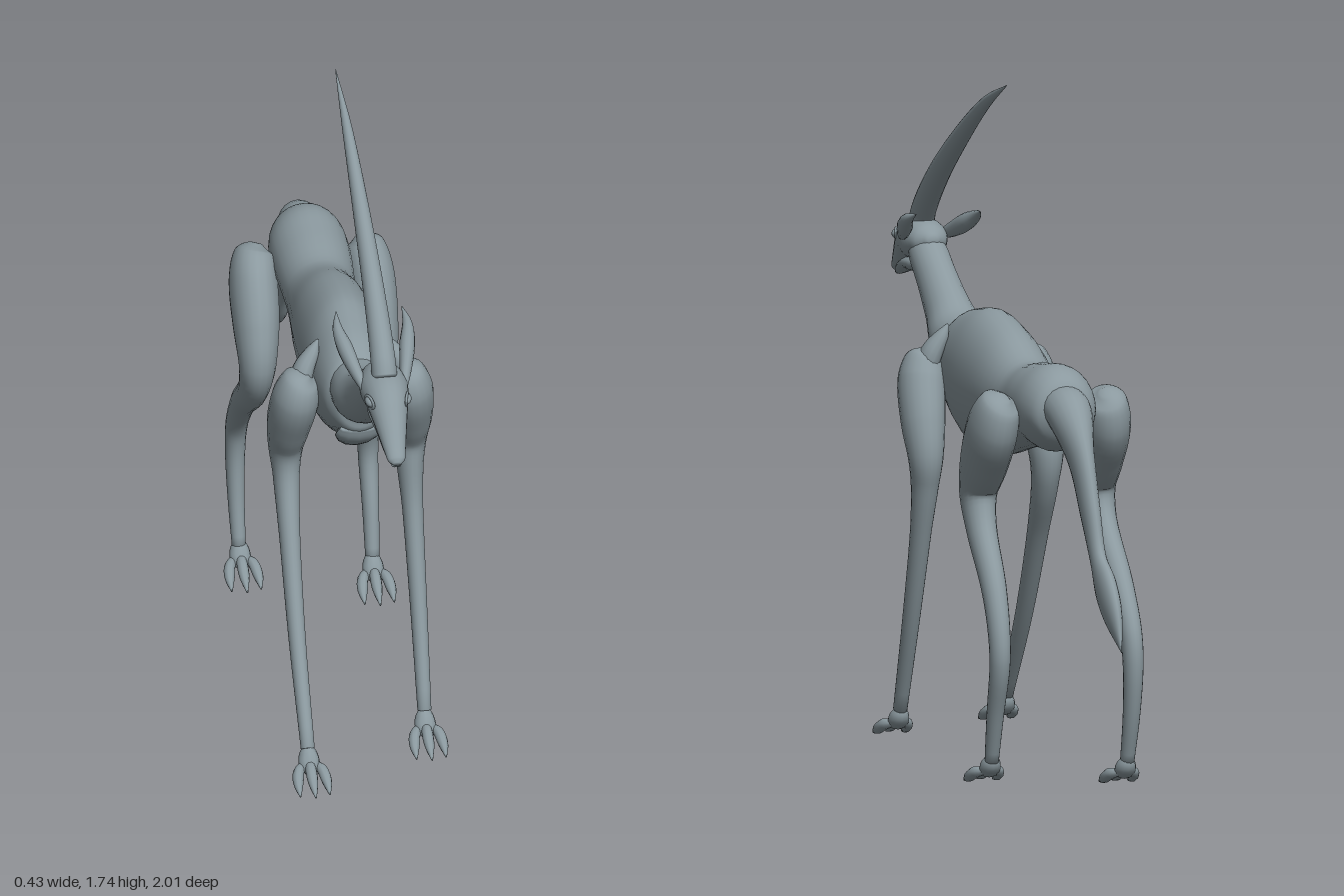
import * as THREE from 'three';

const hide = new THREE.MeshStandardMaterial({ color: 0x8b999f });
hide.name = 'slate grey';

// Smooth closed tube through rows of [x, y, z, half width, half height]
function loft(name, rows, sides = 20, steps = 5) {
  const path = new THREE.CatmullRomCurve3(rows.map(r => new THREE.Vector3(r[0], r[1], r[2])));
  const size = new THREE.CatmullRomCurve3(rows.map(r => new THREE.Vector3(r[3], r[4], 0)), false, 'catmullrom', 0.5);
  const n = (rows.length - 1) * steps;
  const pos = [], index = [];
  for (let i = 0; i <= n; i++) {
    const c = path.getPoint(i / n), t = path.getTangent(i / n), r = size.getPoint(i / n);
    const side = new THREE.Vector3(1, 0, 0).addScaledVector(t, -t.x).normalize();
    const up = new THREE.Vector3().crossVectors(t, side);
    for (let j = 0; j < sides; j++) {
      const a = (j / sides) * Math.PI * 2;
      const p = c.clone()
        .addScaledVector(side, Math.cos(a) * Math.max(r.x, 0.001))
        .addScaledVector(up, Math.sin(a) * Math.max(r.y, 0.001));
      pos.push(p.x, p.y, p.z);
      if (i < n) {
        const k = (j + 1) % sides, p0 = i * sides, p1 = p0 + sides;
        index.push(p0 + j, p0 + k, p1 + k, p0 + j, p1 + k, p1 + j);
      }
    }
  }
  // end caps
  for (const [t, ring] of [[0, 0], [1, n * sides]]) {
    const c = path.getPoint(t), m = pos.length / 3;
    pos.push(c.x, c.y, c.z);
    for (let j = 0; j < sides; j++) {
      const a = ring + j, b = ring + (j + 1) % sides;
      index.push(m, t ? a : b, t ? b : a);
    }
  }
  const g = new THREE.BufferGeometry();
  g.setAttribute('position', new THREE.Float32BufferAttribute(pos, 3));
  g.setIndex(index);
  g.computeVertexNormals();
  const mesh = new THREE.Mesh(g, hide);
  mesh.name = name;
  return mesh;
}

// Rows of [z, y, half width, half height] on the centre line
const centred = rows => rows.map(([z, y, w, h]) => [0, y, z, w, h]);

// Ankle knuckle and three pointed toes
function foot(name, x, z, length) {
  const g = new THREE.Group();
  g.name = name;
  g.add(loft('ankle', [
    [x, 0.085, z - 0.012, 0.012, 0.012], [x, 0.065, z - 0.004, 0.024, 0.024],
    [x, 0.045, z + 0.015, 0.027, 0.022], [x, 0.032, z + 0.04, 0.014, 0.01]], 12, 4));
  for (const s of [-1, 0, 1]) {
    const l = length * (s ? 0.9 : 1), y = s ? 0 : 0.008;
    g.add(loft('toe', [
      [x + s * 0.012, 0.042 + y, z + 0.005, 0.008, 0.008],
      [x + s * 0.03, 0.036 + y, z + l * 0.3, 0.014, 0.015],
      [x + s * 0.037, 0.02 + y / 2, z + l * 0.62, 0.013, 0.014],
      [x + s * 0.038, 0.005, z + l, 0.002, 0.003]], 10, 4));
  }
  return g;
}

export function createModel() {
  const model = new THREE.Group();
  model.name = 'hornedBeast';

  model.add(loft('body', centred([
    [0.435, 0.99, 0.03, 0.04], [0.42, 0.99, 0.06, 0.075], [0.38, 0.985, 0.085, 0.11],
    [0.3, 0.98, 0.1, 0.15], [0.17, 0.965, 0.108, 0.185], [0, 0.958, 0.105, 0.165],
    [-0.18, 0.952, 0.092, 0.112], [-0.32, 0.975, 0.1, 0.105], [-0.42, 0.978, 0.1, 0.112],
    [-0.49, 0.975, 0.08, 0.085], [-0.525, 0.975, 0.035, 0.035]]), 28));

  model.add(loft('neck', centred([
    [0.33, 1.0, 0.07, 0.085], [0.46, 1.03, 0.076, 0.072], [0.55, 1.08, 0.06, 0.068],
    [0.65, 1.147, 0.052, 0.06], [0.73, 1.2, 0.05, 0.054], [0.79, 1.225, 0.04, 0.045]])));

  // Head with a separate lower jaw
  model.add(loft('head', centred([
    [0.69, 1.245, 0.015, 0.012], [0.72, 1.24, 0.046, 0.04], [0.78, 1.235, 0.062, 0.055],
    [0.84, 1.227, 0.055, 0.055], [0.9, 1.193, 0.042, 0.042], [0.96, 1.153, 0.029, 0.025],
    [0.99, 1.134, 0.022, 0.016], [1.0, 1.127, 0.01, 0.007]])));
  model.add(loft('lowerJaw', centred([
    [0.74, 1.18, 0.025, 0.012], [0.79, 1.17, 0.042, 0.022], [0.88, 1.158, 0.034, 0.018],
    [0.95, 1.134, 0.024, 0.012], [0.99, 1.118, 0.012, 0.006]]), 16));

  model.add(loft('horn', centred([
    [0.8, 1.27, 0.033, 0.036], [0.775, 1.31, 0.032, 0.036], [0.65, 1.417, 0.028, 0.034],
    [0.445, 1.548, 0.022, 0.027], [0.21, 1.674, 0.013, 0.016], [0.03, 1.743, 0.001, 0.001]])));

  // Tail with a pointed tuft
  model.add(loft('tail', centred([
    [-0.46, 1.0, 0.06, 0.05], [-0.54, 0.975, 0.057, 0.062], [-0.64, 0.88, 0.032, 0.056],
    [-0.72, 0.755, 0.024, 0.047], [-0.79, 0.645, 0.02, 0.034], [-0.86, 0.578, 0.025, 0.054],
    [-0.93, 0.515, 0.02, 0.045], [-1, 0.435, 0.001, 0.002]])));

  // Breastbone wedge between the front legs
  model.add(loft('breastbone', centred([
    [0.41, 0.91, 0.05, 0.012], [0.385, 0.88, 0.058, 0.025], [0.3, 0.83, 0.045, 0.03],
    [0.2, 0.79, 0.02, 0.015]]), 12));

  for (const s of [-1, 1]) {
    const prefix = s > 0 ? 'left' : 'right';

    // Leaf-shaped ear
    model.add(loft(prefix + 'Ear', [
      [s * 0.05, 1.24, 0.8, 0.01, 0.01], [s * 0.065, 1.262, 0.74, 0.016, 0.02],
      [s * 0.08, 1.29, 0.67, 0.02, 0.024], [s * 0.09, 1.315, 0.61, 0.013, 0.015],
      [s * 0.085, 1.335, 0.555, 0.001, 0.001]], 14));

    // Eye with a raised lid
    const eye = new THREE.Group();
    eye.name = prefix + 'Eye';
    const ball = new THREE.Mesh(new THREE.SphereGeometry(0.016, 16, 12), hide);
    ball.name = 'eyeball';
    const lid = new THREE.Mesh(new THREE.TorusGeometry(0.018, 0.005, 8, 20), hide);
    lid.name = 'eyelid';
    eye.add(ball, lid);
    eye.scale.set(1.3, 0.75, 0.7);
    eye.rotation.y = s * 1.3;
    eye.position.set(s * 0.048, 1.238, 0.862);
    model.add(eye);

    // Front leg: the right one reaches further forward
    const f = s < 0
      ? [[0.545, 0.3], [0.315, 0.43], [0.08, 0.585]]
      : [[0.57, 0.25], [0.33, 0.33], [0.08, 0.435]];
    model.add(loft(prefix + 'FrontLeg', [
      [s * 0.13, 1.025, 0.315, 0.015, 0.02], [s * 0.138, 1.005, 0.312, 0.045, 0.052],
      [s * 0.147, 0.95, 0.3, 0.06, 0.072], [s * 0.157, 0.85, 0.25, 0.056, 0.07],
      [s * 0.16, 0.765, 0.217, 0.045, 0.056], [s * 0.16, 0.69, 0.225, 0.035, 0.046],
      [s * 0.163, f[0][0], f[0][1], 0.027, 0.034], [s * 0.165, f[1][0], f[1][1], 0.022, 0.028],
      [s * 0.163, f[2][0], f[2][1], 0.018, 0.02]]));
    model.add(foot(prefix + 'FrontFoot', s * 0.162, s < 0 ? 0.59 : 0.445, 0.12));

    // Pointed shoulder blade
    model.add(loft(prefix + 'ShoulderBlade', [
      [s * 0.145, 0.95, 0.3, 0.03, 0.04], [s * 0.125, 1.02, 0.285, 0.028, 0.034],
      [s * 0.1, 1.065, 0.275, 0.018, 0.02], [s * 0.085, 1.095, 0.27, 0.003, 0.004]], 12));

    // Hind leg: the right one stands further back
    const h = s < 0
      ? [[0.52, -0.445], [0.41, -0.53], [0.33, -0.547], [0.2, -0.533], [0.07, -0.5]]
      : [[0.52, -0.4], [0.41, -0.455], [0.33, -0.465], [0.2, -0.425], [0.07, -0.385]];
    model.add(loft(prefix + 'HindLeg', [
      [s * 0.135, 1.01, -0.4, 0.015, 0.02], [s * 0.142, 0.99, -0.39, 0.05, 0.062],
      [s * 0.15, 0.93, -0.355, 0.062, 0.09], [s * 0.153, 0.84, -0.29, 0.06, 0.086],
      [s * 0.157, 0.745, -0.245, 0.048, 0.064], [s * 0.16, 0.66, -0.28, 0.039, 0.05],
      [s * 0.162, h[0][0], h[0][1], 0.032, 0.04], [s * 0.164, h[1][0], h[1][1], 0.028, 0.036],
      [s * 0.165, h[2][0], h[2][1], 0.026, 0.033], [s * 0.165, h[3][0], h[3][1], 0.022, 0.027],
      [s * 0.163, h[4][0], h[4][1], 0.018, 0.02]]));
    model.add(foot(prefix + 'HindFoot', s * 0.162, s < 0 ? -0.495 : -0.375, 0.125));
  }
  return model;
}
